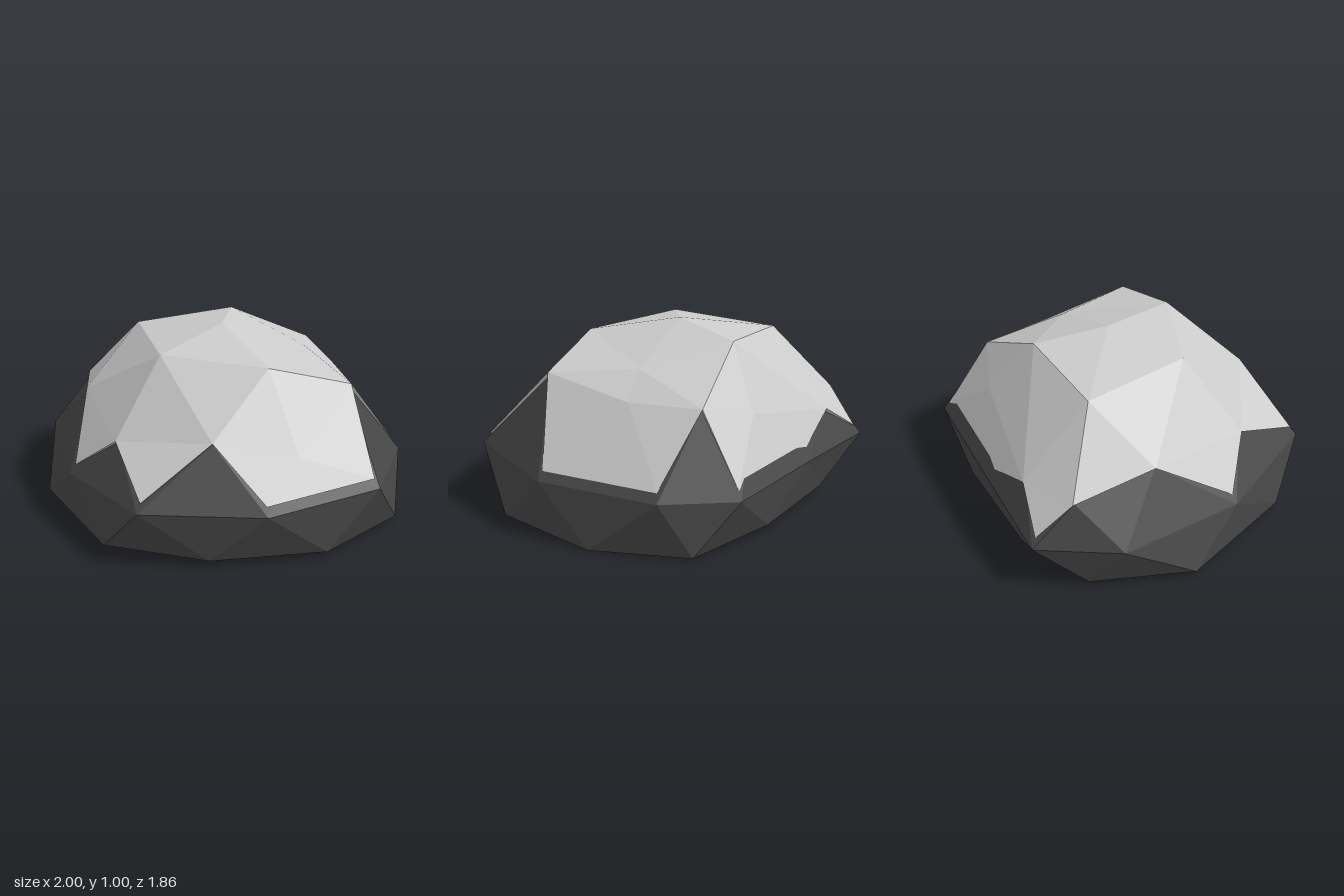
import * as THREE from 'three';

// Rings of the boulder, each running round from +x towards +z
const apex = [0, 1, -0.09];
const upper = [[0.47, 0.83, -0.1], [0.155, 0.91, 0.39], [-0.385, 0.93, 0.14], [-0.42, 0.9, -0.465], [0.13, 0.945, -0.48]];
const shoulder = [[0.65, 0.7, -0.13], [0.25, 0.53, 0.71], [-0.665, 0.54, 0.345], [-0.69, 0.51, -0.72], [0.3, 0.62, -0.68]];
const notch = [[0.615, 0.78, 0.38], [-0.2, 0.63, 0.66], [-0.75, 0.6, -0.26], [-0.36, 0.48, -0.83], [0.6, 0.71, -0.535]];
const waist = [
  [0.94, 0.3, -0.455], [0.95, 0.3, 0.24], [0.675, 0.34, 0.775], [0.04, 0.31, 0.92], [-0.615, 0.32, 0.77],
  [-0.9, 0.28, 0.16], [-0.92, 0.28, -0.545], [-0.635, 0.27, -0.935], [0, 0.29, -0.875], [0.685, 0.29, -0.8],
];
const foot = [
  [1, 0, -0.085], [0.855, 0.02, 0.52], [0.38, 0.03, 0.84], [-0.25, 0.04, 0.83], [-0.77, 0.03, 0.54],
  [-1, 0.03, -0.155], [-0.77, 0.03, -0.68], [-0.3, 0.04, -0.83], [0.35, 0.04, -0.8], [0.855, 0.01, -0.615],
];

const vec = (p) => new THREE.Vector3(...p);
const sink = (p, s = 0.975) => [p[0] * s, 0.2 + (p[1] - 0.2) * s, p[2] * s];
const inside = new THREE.Vector3(0, 0.25, 0);

// Turns a triangle so that it faces away from the middle of the boulder
function outward([a, b, c]) {
  const [A, B, C] = [a, b, c].map(vec);
  const normal = B.clone().sub(A).cross(C.clone().sub(A));
  const middle = A.clone().add(B).add(C).divideScalar(3).sub(inside);
  return normal.dot(middle) < 0 ? [a, c, b] : [a, b, c];
}

function makeMesh(name, triangles, color) {
  const geometry = new THREE.BufferGeometry();
  geometry.setAttribute('position', new THREE.Float32BufferAttribute(triangles.flat(2), 3));
  geometry.computeVertexNormals();
  const mesh = new THREE.Mesh(geometry, new THREE.MeshStandardMaterial({ color, flatShading: true }));
  mesh.name = name;
  return mesh;
}

// Dome facets from the apex to the waist; with capOnly the bare facets are left out
function dome(top, up, sh, no, wa, capOnly) {
  const tris = [];
  for (let i = 0; i < 5; i++) {
    const n = (i + 1) % 5, p = (i + 4) % 5;
    const w0 = wa[2 * i], w1 = wa[2 * i + 1], w2 = wa[(2 * i + 2) % 10];
    tris.push([top, up[i], up[n]], [up[i], up[n], no[i]], [up[i], sh[i], no[i]], [up[i], sh[i], no[p]]);
    tris.push([sh[i], no[i], w1]);
    if (!capOnly || i !== 3) tris.push([sh[i], no[p], w0]);
    if (!capOnly || (i !== 2 && i !== 3)) tris.push([sh[i], w0, w1]);
    if (!capOnly) tris.push([no[i], w1, w2]);
  }
  return tris.map(outward);
}

function makeRock() {
  const lower = (ring) => ring.map((p) => sink(p));
  const tris = dome(sink(apex), lower(upper), lower(shoulder), lower(notch), waist, false);
  // Skirt between waist and foot, and the underside
  for (let j = 0; j < 10; j++) {
    const n = (j + 1) % 10;
    tris.push(...[[waist[j], foot[j], waist[n]], [foot[j], waist[n], foot[n]], [[0, 0.02, 0], foot[j], foot[n]]].map(outward));
  }
  return makeMesh('rock', tris, 0x474747);
}

function makeCap() {
  const hem = waist.map(([x, y, z]) => [x * 0.965, y + 0.048, z * 0.965]);
  const tris = dome(apex, upper, shoulder, notch, hem, true);
  // Rim: every edge used once gets a narrow wall down into the rock
  const edges = new Map();
  for (const t of tris) {
    t.forEach((a, k) => edges.set(`${a}|${t[(k + 1) % 3]}`, [a, t[(k + 1) % 3]]));
  }
  for (const [a, b] of edges.values()) {
    if (edges.has(`${b}|${a}`)) continue;
    const c = sink(a, 0.965), d = sink(b, 0.965);
    tris.push([b, a, c], [b, c, d]);
  }
  return makeMesh('cap', tris, 0xcccccc);
}

export function createModel() {
  const boulder = new THREE.Group();
  boulder.name = 'boulder';
  boulder.add(makeRock(), makeCap());
  return boulder;
}
